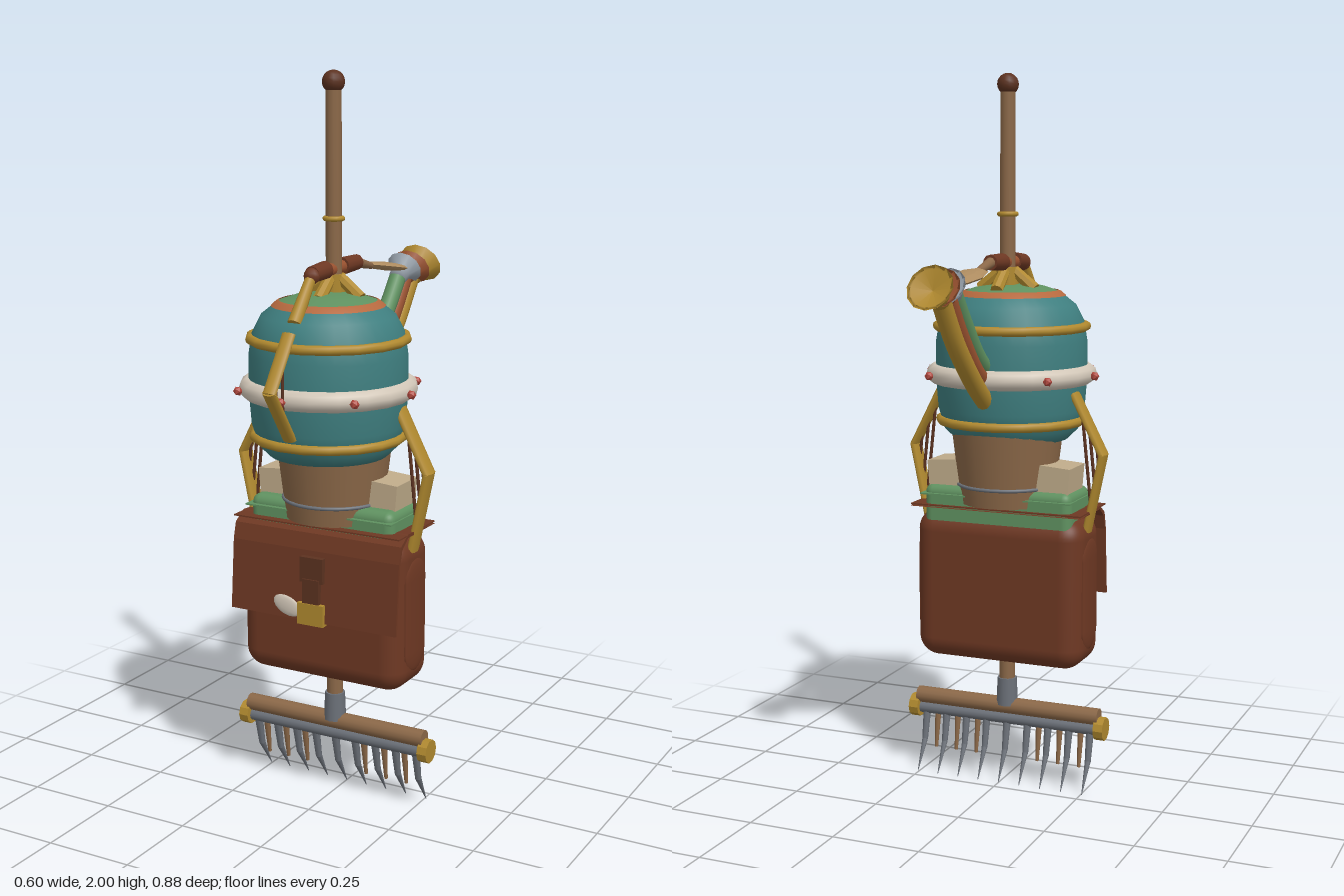
import * as THREE from 'three';
import { RoundedBoxGeometry } from 'three/addons/geometries/RoundedBoxGeometry.js';

const mat = (color, flat = false) =>
  new THREE.MeshStandardMaterial({ color, flatShading: flat, side: THREE.DoubleSide });
const M = {
  wood: mat(0x8b6848), leather: mat(0x6e3823), strap: mat(0x5c3220), gold: mat(0xb0892f),
  goldFlat: mat(0xb0892f, true), teal: mat(0x3f7f80), green: mat(0x5f9160), rust: mat(0x9a5230),
  orange: mat(0xb5693f), ivory: mat(0xd2c7b8), tan: mat(0xae8c60, true), paper: mat(0xbfab8a, true),
  steel: mat(0x6b7078), silver: mat(0x98a2ac), red: mat(0xb0483e, true),
};
const V = (x, y, z) => new THREE.Vector3(x, y, z);
const UP = V(0, 1, 0);

export function createModel() {
  const root = new THREE.Group();
  const poleZ = 0.1, drumZ = 0.13;

  const add = (name, geo, m, x = 0, y = 0, z = 0, parent = root) => {
    const mesh = new THREE.Mesh(geo, m);
    mesh.name = name;
    mesh.position.set(x, y, z);
    parent.add(mesh);
    return mesh;
  };
  // Tapered round bar between two points
  const rod = (name, a, b, ra, rb, m, sides = 12) => {
    const d = b.clone().sub(a);
    const mid = a.clone().add(b).multiplyScalar(0.5);
    const mesh = add(name, new THREE.CylinderGeometry(rb, ra, d.length(), sides), m, mid.x, mid.y, mid.z);
    mesh.quaternion.setFromUnitVectors(UP, d.normalize());
    return mesh;
  };
  const box = (name, w, h, d, m, x, y, z) => add(name, new THREE.BoxGeometry(w, h, d), m, x, y, z);
  const ring = (name, r, t, m, y, z, sides = 32, squash = 1) => {
    const mesh = add(name, new THREE.TorusGeometry(r, t, 10, sides), m, 0, y, z);
    mesh.rotation.x = Math.PI / 2;
    mesh.scale.z = squash;
    return mesh;
  };

  // Pole
  rod('pole', V(0, 0.22, poleZ), V(0, 1.97, poleZ), 0.023, 0.021, M.wood);
  add('poleKnob', new THREE.SphereGeometry(0.03, 12, 10), M.strap, 0, 1.97, poleZ);
  ring('poleRing', 0.023, 0.007, M.gold, 1.62, poleZ, 16);

  // Rake head
  rod('rakeSocket', V(0, 0.22, poleZ), V(0, 0.3, poleZ), 0.031, 0.028, M.steel);
  rod('rakeBeam', V(-0.28, 0.215, poleZ), V(0.28, 0.215, poleZ), 0.024, 0.024, M.wood);
  rod('rakeBar', V(-0.28, 0.178, poleZ), V(0.28, 0.178, poleZ), 0.018, 0.018, M.steel);
  for (const s of [-1, 1])
    rod('rakeEndCap', V(s * 0.272, 0.182, poleZ), V(s * 0.3, 0.182, poleZ), 0.033, 0.033, M.goldFlat, 10);
  for (let i = -4; i <= 4; i++) {
    const x = i * 0.0635;
    rod('tineRoot', V(x, 0.175, poleZ), V(x, 0.085, 0.082), 0.012, 0.009, M.steel, 8);
    rod('tineTip', V(x, 0.088, 0.083), V(x, 0.004, 0.032), 0.009, 0.001, M.steel, 8);
    if (i < 4 && i !== 0 && i !== -1)
      rod('rakePeg', V(x + 0.028, 0.175, poleZ), V(x + 0.028, 0.065, 0.085), 0.01, 0.005, M.wood, 8);
  }

  // Satchel body, side panels and front flap
  add('satchelBody', new RoundedBoxGeometry(0.5, 0.43, 0.2, 5, 0.06), M.leather, 0, 0.575, poleZ);
  for (const s of [-1, 1]) {
    const panel = add('satchelSidePanel', new THREE.CapsuleGeometry(0.06, 0.2, 6, 16), M.leather, s * 0.247, 0.57, poleZ);
    panel.scale.x = 0.15;
  }
  const flapSide = new THREE.Shape();
  [[0, 0.8], [0.16, 0.81], [0.2, 0.785], [0.212, 0.74], [0.228, 0.545], [0.221, 0.545], [0.205, 0.735], [0.193, 0.775], [0.16, 0.8]]
    .forEach(([z, y], i) => (i ? flapSide.lineTo(-z, y) : flapSide.moveTo(-z, y)));
  const flapGeo = new THREE.ExtrudeGeometry(flapSide, { depth: 0.512, bevelEnabled: false });
  flapGeo.rotateY(Math.PI / 2).translate(-0.256, 0, 0);
  add('satchelFlap', flapGeo, M.leather);
  box('claspStrap', 0.07, 0.07, 0.02, M.strap, 0, 0.69, 0.22);
  box('claspTongue', 0.05, 0.07, 0.022, M.strap, 0, 0.63, 0.224);
  box('claspBuckle', 0.08, 0.06, 0.02, M.gold, 0, 0.567, 0.228);
  const charm = add('claspCharm', new THREE.SphereGeometry(0.045, 10, 8), M.ivory, -0.075, 0.58, 0.23);
  charm.scale.set(1, 0.6, 0.15);
  charm.rotation.z = -0.35;

  // Contents of the satchel
  add('greenBundle', new RoundedBoxGeometry(0.44, 0.16, 0.175, 3, 0.025), M.green, 0, 0.785, 0.097);
  for (const s of [-1, 1]) {
    const book = box('paperBundle', 0.105, 0.17, 0.12, M.paper, s * 0.155, 0.85, 0.085);
    book.rotation.z = -s * 0.08;
  }
  box('leatherSheet', 0.51, 0.004, 0.21, M.leather, 0, 0.806, 0.105);
  box('greenSheet', 0.45, 0.004, 0.2, M.green, 0, 0.838, 0.098);

  // Bucket under the drum
  rod('bucket', V(0, 0.815, poleZ), V(0, 1.03, poleZ), 0.132, 0.158, M.wood, 24);
  ring('bucketWire', 0.139, 0.005, M.steel, 0.868, poleZ);

  // Drum with domed lid, bands and studded collar
  const profile = [[0, 0.99], [0.16, 0.995], [0.19, 1.025], [0.206, 1.08], [0.214, 1.18], [0.212, 1.27],
    [0.203, 1.325], [0.18, 1.37], [0.14, 1.402]];
  const lathe = (name, pts, m) =>
    add(name, new THREE.LatheGeometry(pts.map(p => new THREE.Vector2(...p)), 32), m, 0, 0, drumZ);
  lathe('drum', profile, M.teal);
  lathe('lidStripe', [[0.152, 1.395], [0.138, 1.407], [0.13, 1.41]], M.orange);
  lathe('lid', [[0.132, 1.407], [0.09, 1.421], [0.045, 1.428], [0, 1.43]], M.green);
  ring('upperBand', 0.209, 0.013, M.gold, 1.31, drumZ, 18);
  ring('lowerBand', 0.201, 0.013, M.gold, 1.048, drumZ, 18);
  ring('collar', 0.212, 0.028, M.ivory, 1.178, drumZ, 20);
  for (let i = 0; i < 8; i++) {
    const a = i * Math.PI / 4;
    add('collarStud', new THREE.IcosahedronGeometry(0.013, 0), M.red,
      0.247 * Math.cos(a), 1.178, drumZ + 0.247 * Math.sin(a));
  }

  // Harp-like handles: flat bent bar with thin strings; pts are [outward, height]
  const harp = (name, pts, width, thick, place, strings) => {
    const g = new THREE.Group();
    g.name = name;
    for (let i = 0; i < pts.length - 1; i++) {
      const [x0, y0] = pts[i], [x1, y1] = pts[i + 1];
      const len = Math.hypot(x1 - x0, y1 - y0);
      const bar = add('handleBar', new THREE.CylinderGeometry(1, 1, len + thick * 0.6, 10), M.gold,
        (x0 + x1) / 2, (y0 + y1) / 2, 0, g);
      bar.scale.set(thick, 1, width);
      bar.rotation.z = Math.atan2(x0 - x1, y1 - y0);
    }
    for (let k = 1; k <= strings; k++) {
      const t = k / (strings + 1);
      const [a, b, c] = pts;
      const p = [a[0] + (b[0] - a[0]) * t, a[1] + (b[1] - a[1]) * t];
      const q = [c[0] + (b[0] - c[0]) * t, c[1] + (b[1] - c[1]) * t];
      const s = add('handleString', new THREE.CylinderGeometry(0.0045, 0.0045, Math.hypot(p[0] - q[0], p[1] - q[1]), 6),
        M.strap, (p[0] + q[0]) / 2, (p[1] + q[1]) / 2, 0, g);
      s.rotation.z = Math.atan2(q[0] - p[0], p[1] - q[1]);
    }
    place(g);
    root.add(g);
  };
  const sidePts = [[0.2, 1.13], [0.285, 0.965], [0.24, 0.75]];
  harp('leftHandle', sidePts, 0.03, 0.011, g => g.position.set(0, 0, poleZ), 3);
  harp('rightHandle', sidePts, 0.03, 0.011, g => { g.position.set(0, 0, poleZ); g.rotation.y = Math.PI; }, 3);
  harp('frontHandle', [[0.335, 1.345], [0.43, 1.21], [0.335, 1.075]], 0.02, 0.011, g => { g.rotation.y = -Math.PI / 2; }, 2);

  // Cross pipe on top with collar, struts, front spout and rear leaf
  rod('topCollar', V(0, 1.4, poleZ), V(0, 1.475, poleZ), 0.031, 0.031, M.gold);
  for (const [dx, dz] of [[1, 0], [-1, 0], [0, 1], [0, -1]])
    rod('collarStrut', V(dx * 0.02, 1.465, poleZ + dz * 0.02), V(dx * 0.08, 1.415, poleZ + dz * 0.08), 0.016, 0.018, M.goldFlat, 8);
  rod('crossPipe', V(0, 1.485, 0.21), V(0, 1.492, -0.02), 0.018, 0.018, M.rust);
  rod('crossPipeFrontGrip', V(0, 1.485, 0.215), V(0, 1.49, 0.145), 0.022, 0.024, M.leather);
  rod('crossPipeRearGrip', V(0, 1.49, 0.06), V(0, 1.492, -0.025), 0.024, 0.021, M.leather);
  add('crossPipeElbow', new THREE.SphereGeometry(0.022, 10, 8), M.leather, 0, 1.482, 0.215);
  rod('frontSpout', V(0, 1.485, 0.215), V(0, 1.37, 0.305), 0.014, 0.019, M.gold);
  rod('leafStem', V(0, 1.492, -0.02), V(0, 1.472, -0.11), 0.015, 0.009, M.wood);
  const leaf = add('leaf', new THREE.SphereGeometry(1, 8, 6), M.tan, 0, 1.462, -0.19);
  leaf.scale.set(0.05, 0.012, 0.1);
  leaf.rotation.x = -0.16;

  // Stacked horns: curved tube and flared bell each, [height, depth] points
  const horn = (name, m, bellMat, pts, r, bellR, bellLen) => {
    const curve = new THREE.CatmullRomCurve3(pts.map(([y, z]) => V(0, y, z)));
    add(name + 'Tube', new THREE.TubeGeometry(curve, 20, r, 12), m);
    const end = curve.getPoint(1);
    const bell = new THREE.LatheGeometry([[0, -0.004], [r * 1.05, 0], [bellR * 0.55, bellLen * 0.45], [bellR, bellLen],
      [bellR * 0.85, bellLen * 0.97], [0, bellLen * 0.75]].map(p => new THREE.Vector2(...p)), 12);
    add(name + 'Bell', bell, bellMat, 0, end.y, end.z)
      .quaternion.setFromUnitVectors(UP, V(0, 0.5, -0.87).normalize());
  };
  horn('upperHorn', M.green, M.silver, [[1.2, -0.05], [1.25, -0.12], [1.35, -0.21], [1.42, -0.265]], 0.024, 0.052, 0.05);
  horn('middleHorn', M.rust, M.rust, [[1.16, -0.05], [1.21, -0.13], [1.32, -0.235], [1.415, -0.305]], 0.024, 0.057, 0.055);
  horn('lowerHorn', M.gold, M.gold, [[1.11, -0.05], [1.17, -0.13], [1.29, -0.255], [1.41, -0.345]], 0.026, 0.064, 0.075);

  return root;
}
